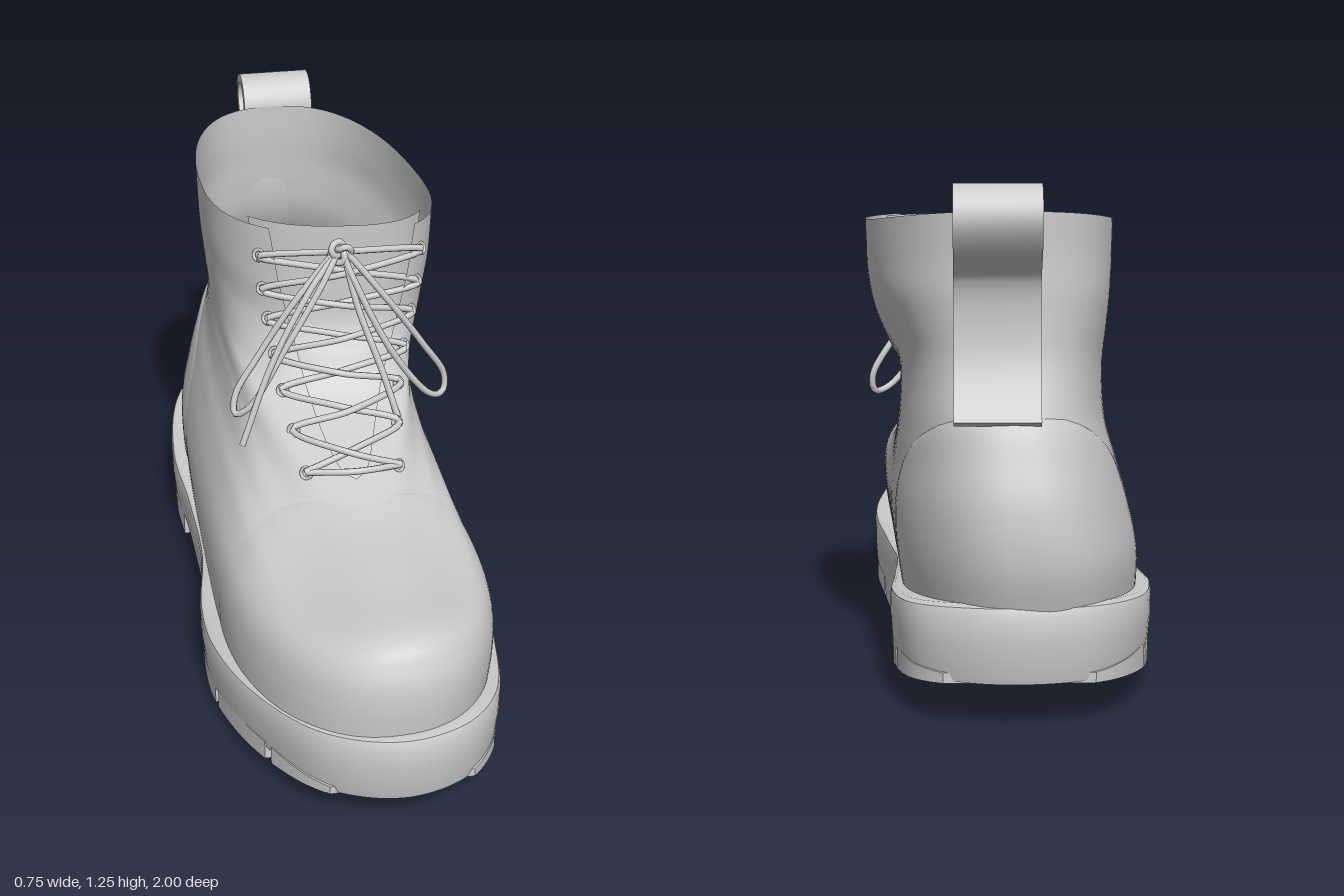
import * as THREE from 'three';
import { mergeVertices, toCreasedNormals } from 'three/addons/utils/BufferGeometryUtils.js';

const mat = new THREE.MeshStandardMaterial({ color: 0xcccccc, side: THREE.DoubleSide });
const { lerp, smoothstep } = THREE.MathUtils;
const spow = (v, p) => Math.sign(v) * Math.abs(v) ** p;
const V = (x, y, z) => new THREE.Vector3(x, y, z);

// Piecewise linear lookup in a list of [key, value] sorted by key
function lookup(list, k) {
  if (k <= list[0][0]) return list[0][1];
  for (let i = 1; i < list.length; i++) {
    const [k0, v0] = list[i - 1], [k1, v1] = list[i];
    if (k <= k1) return lerp(v0, v1, (k - k0) / (k1 - k0 || 1));
  }
  return list[list.length - 1][1];
}

// Grid surface from point(u, v), u and v in 0..1, welded for smooth seams
function grid(nu, nv, point) {
  const pos = [], idx = [];
  for (let j = 0; j <= nv; j++) for (let i = 0; i <= nu; i++) pos.push(...point(i / nu, j / nv));
  for (let j = 0; j < nv; j++) for (let i = 0; i < nu; i++) {
    const a = j * (nu + 1) + i, d = a + nu + 1;
    idx.push(a, a + 1, d + 1, a, d + 1, d);
  }
  let g = new THREE.BufferGeometry();
  g.setAttribute('position', new THREE.Float32BufferAttribute(pos, 3));
  g.setIndex(idx);
  g = mergeVertices(g, 1e-5);
  g.computeVertexNormals();
  return g;
}

// Upper rings, sole to collar:
// zFront, yFront, zBack, yBack, xFront, xBack, widthFront, widthBack, ySide
const RINGS = [
  [.96, .22, -.94, .22, .02, -.04, .42, .31, .17],
  [.965, .36, -.985, .38, .03, -.035, .42, .32, .30],
  [.945, .45, -.98, .52, .035, -.02, .395, .31, .40],
  [.88, .51, -.94, .64, .045, -.01, .32, .30, .50],
  [.68, .516, -.905, .73, .045, 0, .26, .285, .58],
  [.45, .538, -.87, .80, .045, 0, .225, .275, .68],
  [.26, .605, -.85, .86, .045, 0, .23, .27, .76],
  [.07, .69, -.84, .93, .06, 0, .26, .27, .84],
  [-.04, .82, -.835, 1.0, .08, 0, .30, .27, .94],
  [-.06, .97, -.83, 1.09, .085, 0, .325, .265, 1.03],
  [-.06, 1.13, -.83, 1.185, .085, 0, .33, .265, 1.14],
];
function ringAt(t) {
  const n = RINGS.length - 1, s = Math.min(Math.max(t, 0), 1) * n;
  const i = Math.min(Math.floor(s), n - 1), f = s - i;
  const at = k => RINGS[Math.min(Math.max(k, 0), n)];
  return RINGS[0].map((_, k) => {
    const a = at(i - 1)[k], b = at(i)[k], c = at(i + 1)[k], d = at(i + 2)[k];
    return b + .5 * f * (c - a + f * (2 * a - 5 * b + 4 * c - d + f * (3 * (b - c) + d - a)));
  });
}
// Point on the upper: angle a (0 = front, towards +x), height t, outward offset
function upper(a, t, off = 0) {
  const [zF, yF, zB, yB, xF, xB, wF, wB, yS] = ringAt(t);
  const cos = Math.cos(a), sin = Math.sin(a), p = cos > 0 ? lerp(.92, .8, t) : .8;
  const cz = spow(cos, p), sx = spow(sin, p), c = (cz + 1) / 2;
  // Narrow waist of the foot, stronger on the inner side
  const waist = 1 - (sin > 0 ? .19 : .13) * Math.max(0, 1 - 2 * t) * sin ** 6;
  // Shoulders of the toe fall away to both sides
  const fall = cos > 0 ? .035 * smoothstep(t, .2, .35) * (1 - smoothstep(t, .45, .65)) * Math.sin(2 * a) ** 2 : 0;
  const y = yS + (yF - yB) / 2 * cz + ((yF + yB) / 2 - yS) * cz * cz - fall;
  const lift = off * Math.max(0, cz) * smoothstep(t, .15, .35) * (t < .75 ? 1 : 0);
  return [lerp(xB, xF, c) + sx * (lerp(wB, wF, c) * waist + off), y + lift,
    (zF + zB) / 2 + cz * ((zF - zB) / 2 + off) + .04 * sx * Math.max(0, cz) * t ** 3];
}
// Half angle of the lace opening
const gap = t => t < .58 ? 0 : .55 * Math.sqrt((t - .58) / .42);

// Raised leather panel with a rounded top edge
const panel = (mid, half, top, off) => grid(56, 36, (u, v) => {
  const s = u * 2 - 1, edge = Math.max(Math.abs(s), v);
  return upper(mid + s * half * Math.sqrt(1 - v ** 4), top * v, off * (1.2 - 1.6 * edge ** 12));
});

// Sole outline seen from above (x, z), from the toe round the +x side
const OUTLINE = new THREE.CatmullRomCurve3([
  [.06, 1], [.2, .95], [.3, .83], [.36, .6], [.375, .42], [.335, .15], [.295, -.1], [.29, -.4],
  [.285, -.65], [.225, -.87], [.1, -.96], [-.04, -.98], [-.2, -.93], [-.31, -.78], [-.36, -.5],
  [-.345, -.25], [-.34, 0], [-.375, .25], [-.37, .45], [-.3, .7], [-.18, .9], [-.06, .98],
].map(([x, z]) => V(x, 0, z)), true);
const EDGE = OUTLINE.getPoints(180);
const rear = EDGE.reduce((m, p, i) => p.z < EDGE[m].z ? i : m, 0);
const sideList = pts => pts.map(p => [p.z, p.x]).sort((a, b) => a[0] - b[0]);
const RIGHT = sideList(EDGE.slice(0, rear + 1)), LEFT = sideList(EDGE.slice(rear));
const soleTop = z => lookup([[-.97, .3], [-.7, .262], [-.4, .228], [0, .2], [.3, .205], [.6, .237], [1, .29]], z);
const soleBase = z => lookup([[-.97, .112], [-.93, .11], [-.75, .12], [-.6, .115], [-.33, .1], [-.1, .055], [.4, .07], [.75, .1], [.93, .093], [1, .1]], z);
const ground = z => lookup([[-.97, .11], [-.35, .03], [-.07, .01], [0, 0], [.4, .02], [.75, .065], [1, .1]], z);

function soleBody() {
  // Each row: scale of the outline, 0 = base to 1 = top
  const rows = [[0, 0], [.3, 0], [.6, 0], [.85, 0], [.985, 0], [.99, .1], [1, .5], [1, .85],
    [.99, .96], [.965, 1], [.8, 1], [.55, 1], [.3, 1], [0, 1]];
  const g = grid(180, rows.length - 1, (u, v) => {
    const [s, h] = rows[Math.round(v * (rows.length - 1))];
    const p = EDGE[Math.round(u * 180) % 180];
    const z = p.z * s;
    return [p.x * s, lerp(soleBase(z), soleTop(z), h), z];
  });
  return toCreasedNormals(g, .7);
}

// Tread block: a box bent to fit between z0..z1 and a share f0..f1 of the sole width
function lug(z0, z1, f0, f1, raise) {
  const g = new THREE.BoxGeometry(1, 1, 1, 4, 1, 10), p = g.attributes.position;
  for (let i = 0; i < p.count; i++) {
    const z = lerp(z0, z1, p.getZ(i) + .5), f = lerp(f0, f1, p.getX(i) + .5);
    const x = lerp(lookup(LEFT, z), lookup(RIGHT, z), f) * .985;
    p.setXYZ(i, x, p.getY(i) > 0 ? soleBase(z) + .02 : ground(z) + raise, z);
  }
  return toCreasedNormals(g, .6);
}

// Flat strap of even thickness, drawn in (z, y) and extruded along x
function strap(points, thick, width) {
  const curve = new THREE.CatmullRomCurve3(points.map(([z, y]) => V(-z, y, 0)));
  const a = [], b = [];
  for (let i = 0; i <= 70; i++) {
    const p = curve.getPoint(i / 70), t = curve.getTangent(i / 70);
    a.push(new THREE.Vector2(p.x - t.y * thick / 2, p.y + t.x * thick / 2));
    b.unshift(new THREE.Vector2(p.x + t.y * thick / 2, p.y - t.x * thick / 2));
  }
  const g = new THREE.ExtrudeGeometry(new THREE.Shape([...a, ...b]), { depth: width, bevelEnabled: false });
  return toCreasedNormals(g.rotateY(Math.PI / 2), .6);
}

const cord = (pts, closed = false) => new THREE.TubeGeometry(
  new THREE.CatmullRomCurve3(pts.map(p => V(...p)), closed), pts.length * 10, .009, 8, closed);

export function createModel() {
  const boot = new THREE.Group();
  boot.name = 'boot';
  const add = (name, geometry, parent = boot) => {
    const m = new THREE.Mesh(geometry, mat);
    m.name = name;
    parent.add(m);
    return m;
  };
  const group = name => {
    const g = new THREE.Group();
    g.name = name;
    boot.add(g);
    return g;
  };

  // Upper with lace opening, tongue behind it, and reinforcing panels
  add('upper', grid(128, 100, (u, v) => {
    const g = gap(v);
    return upper(g + u * (2 * Math.PI - 2 * g), v);
  }));
  add('tongue', grid(24, 40, (u, v) => {
    const t = lerp(.52, 1, v), [x, y, z] = upper((u * 2 - 1) * (gap(t) + .22), t, -.012);
    return [x, y - .012 * (1 - v), z - .022 - .01 * v];
  }));
  add('toeCap', panel(0, 1.28, .55, .005));
  add('heelCounter', panel(Math.PI, 1.2, .4, .008));

  // Sole, insole and tread
  add('sole', soleBody());
  const pad = add('insolePad', new THREE.CylinderGeometry(.17, .17, .03, 40));
  pad.scale.z = 1.8;
  pad.rotation.x = .07;
  pad.position.set(-.03, .235, -.265);
  const tread = group('tread');
  const bands = [[-.08, .19], [.21, .45], [.475, .74], [.765, .93], [-.46, -.35], [-.595, -.48], [-.695, -.615], [-.93, -.715]];
  for (const [z0, z1] of bands) {
    add('outerLug', lug(z0, z1, 0, .27, 0), tread);
    add('outerLug', lug(z0, z1, .73, 1, 0), tread);
    add('innerLug', lug(z0 + .012, z1 - .012, .31, .485, .02), tread);
    add('innerLug', lug(z0 + .012, z1 - .012, .515, .69, .02), tread);
  }

  // Pull tab: stitched strap ending in a loop above the collar
  const tab = add('pullTab', strap([[-.925, .71], [-.89, .77], [-.862, .84], [-.85, .92], [-.855, 1.0],
    [-.875, 1.05], [-.945, 1.11], [-.98, 1.18], [-.955, 1.23], [-.89, 1.238], [-.848, 1.19],
    [-.846, 1.11], [-.866, 1.03]], .024, .2));
  tab.position.x = -.07;

  // Criss-cross laces
  const laces = group('laces'), rows = 7;
  const eyelet = (side, i, off) => {
    const f = i / (rows - 1), t = lerp(.57, .94, f);
    return upper(side * (gap(t) + lerp(.5, .14, Math.sqrt(f))), t, off);
  };
  for (const start of [-1, 1]) {
    const path = [];
    for (let i = 0; i < rows; i++) {
      const side = i % 2 ? -start : start, p = eyelet(side, i, .014);
      if (i) {
        const q = path[path.length - 1];
        path.push([(p[0] + q[0]) / 2, (p[1] + q[1]) / 2 + .012, (p[2] + q[2]) / 2 + .04 + start * .01]);
      }
      path.push(p);
    }
    path.push([.06, 1.09, -.035]);
    add('lace', cord(path), laces);
  }
  const l0 = eyelet(-1, 0, .012), r0 = eyelet(1, 0, .012);
  add('laceBar', cord([l0, [(l0[0] + r0[0]) / 2, l0[1] + .01, l0[2] + .035], r0]), laces);
  for (let i = 0; i < rows; i++) for (const side of [-1, 1]) {
    const ring = add('eyelet', new THREE.TorusGeometry(.015, .005, 6, 14), laces);
    ring.position.set(...eyelet(side, i, .004));
    ring.rotation.set(-.5, side * .6, 0);
  }

  // Bow: knot, two hanging loops and two loose ends
  const bow = group('bow');
  add('knot', new THREE.TorusKnotGeometry(.02, .009, 60, 8), bow).position.set(.06, 1.09, -.03);
  add('bowLoop', cord([[.07, 1.09, -.03], [.18, .96, 0], [.29, .8, -.01], [.355, .69, -.03], [.35, .645, -.02],
    [.31, .655, .01], [.2, .8, .035], [.11, .98, .01]], true), bow);
  add('bowLoop', cord([[.05, 1.09, -.03], [-.06, .98, 0], [-.17, .82, .01], [-.235, .72, .03], [-.24, .675, .05],
    [-.205, .7, .07], [-.1, .86, .05], [.02, 1.04, 0]], true), bow);
  add('looseEnd', cord([[.05, 1.09, -.03], [-.03, 1.0, .01], [-.14, .82, .06], [-.23, .61, .11]]), bow);
  add('looseEnd', cord([[.07, 1.09, -.03], [.1, .95, .015], [.16, .77, .075], [.215, .58, .14]]), bow);
  return boot;
}
